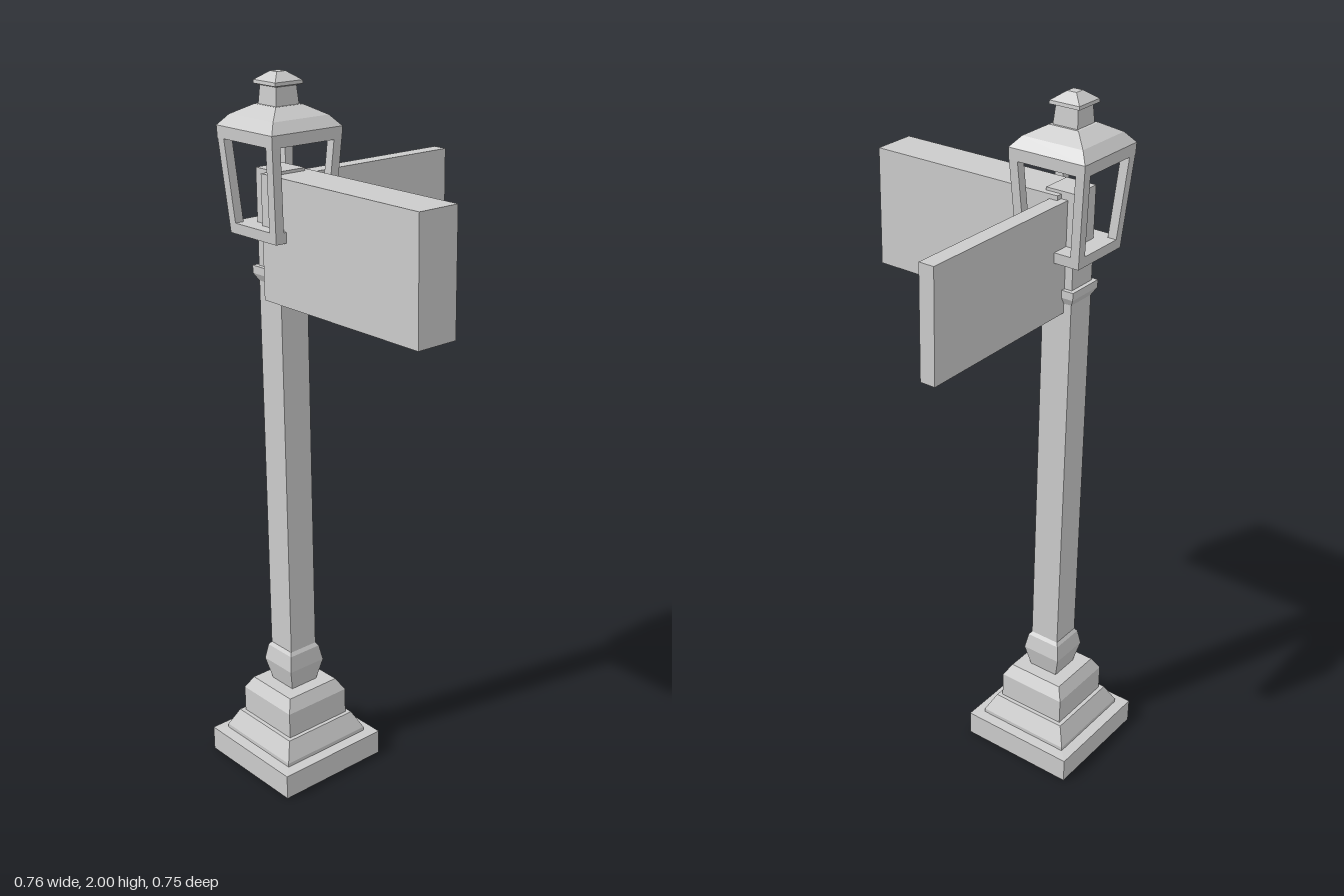
import * as THREE from 'three';

const material = new THREE.MeshStandardMaterial({ color: 0xcccccc, flatShading: true });

function part(name, geometry, x = 0, y = 0, z = 0) {
  const mesh = new THREE.Mesh(geometry, material);
  mesh.name = name;
  mesh.position.set(x, y, z);
  return mesh;
}

// Square turned solid from [half width, height] pairs, bottom to top, closed at both ends
function squareProfile(name, pairs) {
  const points = pairs.map(([h, y]) => new THREE.Vector2(h * Math.SQRT2, y));
  points.unshift(new THREE.Vector2(0, pairs[0][1]));
  points.push(new THREE.Vector2(0, pairs[pairs.length - 1][1]));
  return part(name, new THREE.LatheGeometry(points, 4).rotateY(Math.PI / 4));
}

// Lantern corner bar leaning outwards towards the top
function cornerBar(sx, sz) {
  const bottom = 1.6, top = 1.84, width = 0.026;
  const geometry = new THREE.BoxGeometry(width, top - bottom, width);
  const p = geometry.attributes.position;
  for (let i = 0; i < p.count; i++) {
    const centre = (p.getY(i) > 0 ? 0.113 : 0.096) - width / 2;
    p.setX(i, p.getX(i) + sx * centre);
    p.setZ(i, p.getZ(i) + sz * centre);
  }
  return part('lanternBar', geometry, 0, (bottom + top) / 2, 0);
}

export function createModel() {
  const model = new THREE.Group();
  model.name = 'lampPostWithSigns';
  const post = new THREE.Group();
  post.name = 'lampPost';
  post.position.set(-0.205, 0, 0.197);
  model.add(post);

  // Stepped pedestal
  post.add(squareProfile('pedestal', [
    [0.175, 0], [0.175, 0.073], [0.143, 0.075], [0.143, 0.086],
    [0.117, 0.138], [0.105, 0.138], [0.105, 0.215], [0.085, 0.25],
  ]));

  // Shaft with a swollen foot
  post.add(squareProfile('shaft', [
    [0.045, 0.25], [0.06, 0.315], [0.052, 0.36], [0.045, 0.37], [0.045, 1.757],
  ]));
  post.add(squareProfile('collar', [[0.046, 1.457], [0.057, 1.477], [0.057, 1.498]]));

  // Open lantern
  post.add(squareProfile('lanternFloor', [[0.095, 1.585], [0.097, 1.614]]));
  for (const sx of [-1, 1]) for (const sz of [-1, 1]) post.add(cornerBar(sx, sz));
  post.add(squareProfile('lanternRoof', [
    [0.113, 1.832], [0.114, 1.864], [0.09, 1.892], [0.044, 1.918],
  ]));
  post.add(squareProfile('finial', [
    [0.037, 1.916], [0.033, 1.965], [0.045, 1.969], [0.044, 1.978], [0.014, 2],
  ]));

  // Two sign boards at right angles, meeting in the shaft
  post.add(part('sideSign', new THREE.BoxGeometry(0.586, 0.334, 0.125), 0.291, 1.582, 0));
  post.add(part('backSign', new THREE.BoxGeometry(0.044, 0.307, 0.572), 0, 1.583, -0.286));
  return model;
}
